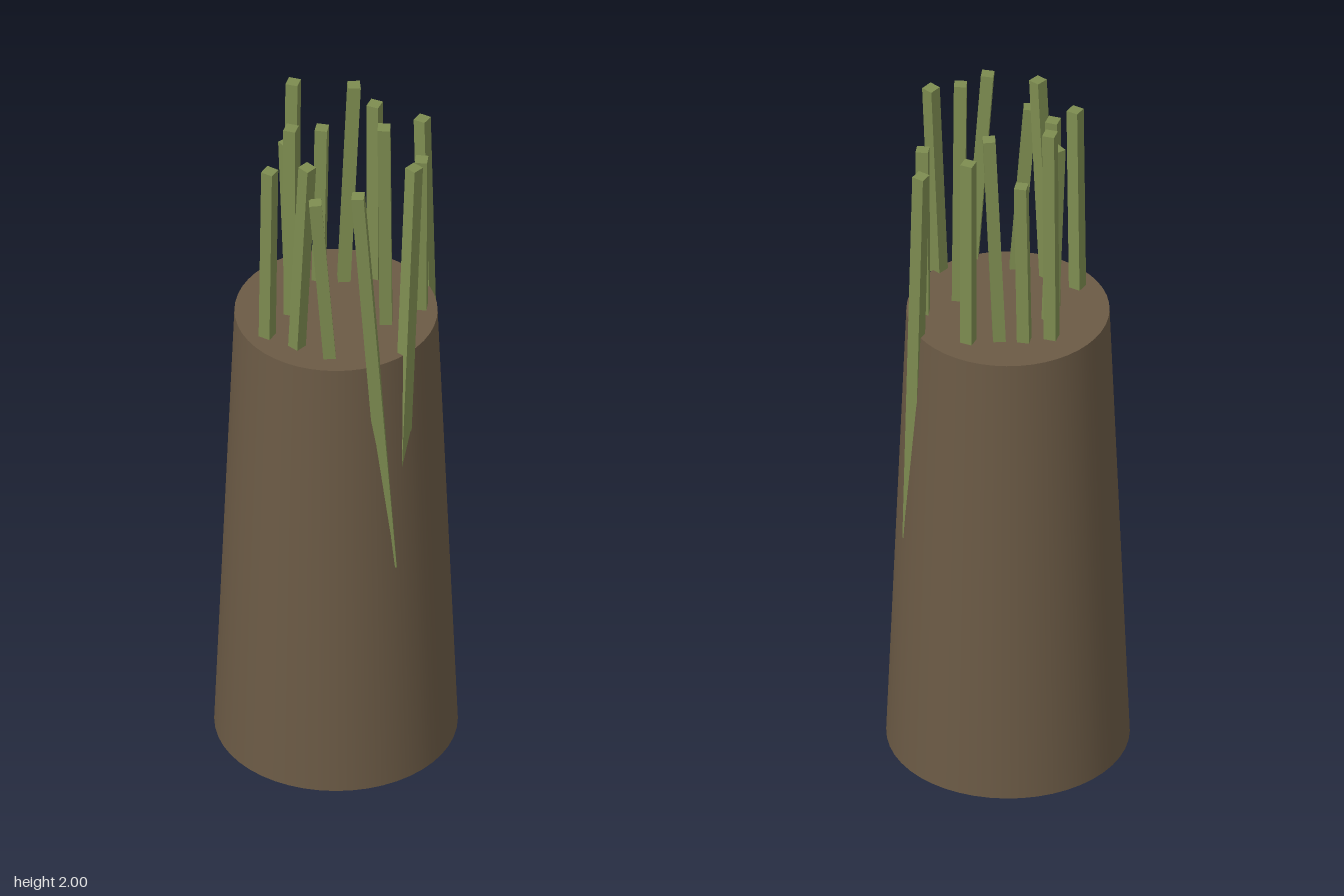
import * as THREE from 'three';

const STUMP_HEIGHT = 1.34;
const BLADE_WIDTH = 0.033;
const BLADE_FOOT = 0.68;

// Each blade: tip x, tip height, tip z, then x and z where it leaves the stump top, then twist in degrees
const BLADES = [
  [-0.155, 1.99, -0.08, -0.157, -0.074, 6],
  [-0.09, 1.83, -0.12, -0.096, -0.114, 12],
  [-0.01, 1.975, -0.148, -0.034, -0.136, 27],
  [0.036, 1.905, -0.178, 0.036, -0.178, 0],
  [0.153, 1.86, -0.222, 0.172, -0.207, -8],
  [0.21, 1.84, -0.08, 0.2, -0.1, 16],
  [0.147, 2.0, 0.025, 0.14, -0.005, 20],
  [0.252, 1.93, 0.072, 0.241, 0.1, -19],
  [0.153, 1.91, 0.218, 0.185, 0.19, 17],
  [0.027, 1.845, 0.208, 0.06, 0.19, 25],
  [0.0, 1.945, 0.197, -0.035, 0.183, -21],
  [-0.113, 1.89, 0.182, -0.125, 0.17, -8],
  [-0.108, 1.94, 0.048, -0.105, 0.053, 5],
  [-0.13, 1.87, 0.023, -0.121, 0.0, -29],
];

// A square blade running from its tip down through the stump top to its foot inside
function makeBlade([tx, ty, tz, bx, bz, twist], material) {
  const tip = new THREE.Vector3(tx, ty, tz);
  const base = new THREE.Vector3(bx, STUMP_HEIGHT, bz);
  const foot = tip.clone().lerp(base, (ty - BLADE_FOOT) / (ty - STUMP_HEIGHT));
  const axis = tip.clone().sub(foot);
  const up = new THREE.Vector3(0, 1, 0);

  const blade = new THREE.Mesh(
    new THREE.BoxGeometry(BLADE_WIDTH, axis.length(), BLADE_WIDTH), material);
  blade.position.copy(tip).add(foot).multiplyScalar(0.5);
  blade.quaternion.setFromUnitVectors(up, axis.normalize()).multiply(
    new THREE.Quaternion().setFromAxisAngle(up, THREE.MathUtils.degToRad(twist)));
  return blade;
}

export function createModel() {
  const model = new THREE.Group();
  const bark = new THREE.MeshStandardMaterial({ color: 0x6b5a45 });
  const green = new THREE.MeshStandardMaterial({ color: 0x7d8c50 });

  // Tapered stump
  const stump = new THREE.Mesh(
    new THREE.CylinderGeometry(0.267, 0.32, STUMP_HEIGHT, 48), bark);
  stump.name = 'stump';
  stump.position.y = STUMP_HEIGHT / 2;
  model.add(stump);

  // Leaning grass blades
  const grass = new THREE.Group();
  grass.name = 'grass';
  BLADES.forEach((spec, i) => {
    const blade = makeBlade(spec, green);
    blade.name = `grassBlade${i + 1}`;
    grass.add(blade);
  });
  model.add(grass);

  return model;
}
